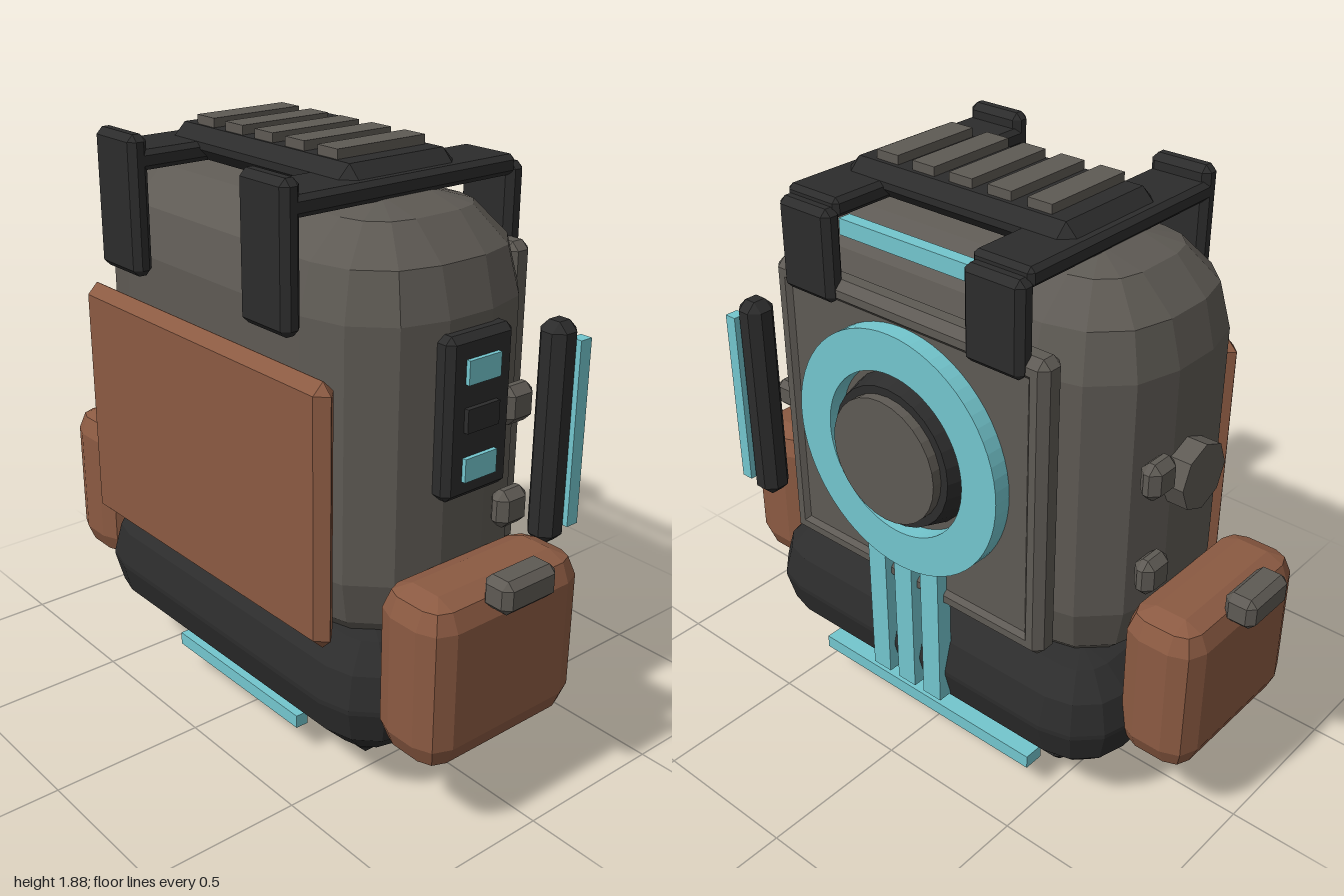
import * as THREE from 'three';
import { ConvexGeometry } from 'three/addons/geometries/ConvexGeometry.js';

const material = (name, color) => {
  const m = new THREE.MeshStandardMaterial({ color, flatShading: true });
  m.name = name;
  return m;
};

// Box between two limits per axis, edges rounded by radius r in m facets
function roundedBox([x0, x1], [y0, y1], [z0, z1], r, m) {
  const c = [(x0 + x1) / 2, (y0 + y1) / 2, (z0 + z1) / 2];
  const h = [(x1 - x0) / 2 - r, (y1 - y0) / 2 - r, (z1 - z0) / 2 - r];
  const points = new Map();
  for (const sx of [-1, 1]) for (const sy of [-1, 1]) for (const sz of [-1, 1]) {
    for (let i = 0; i <= m; i++) for (let j = 0; j <= m; j++) {
      const a = (i / m) * Math.PI / 2, b = (j / m) * Math.PI / 2;
      const p = new THREE.Vector3(
        c[0] + sx * (h[0] + r * Math.cos(a) * Math.cos(b)),
        c[1] + sy * (h[1] + r * Math.sin(a)),
        c[2] + sz * (h[2] + r * Math.cos(a) * Math.sin(b)));
      points.set(p.toArray().map((v) => v.toFixed(4)).join(), p);
    }
  }
  return new ConvexGeometry([...points.values()]);
}

export function createModel() {
  const model = new THREE.Group();
  model.name = 'backpack';
  const canvas = material('warm grey canvas', 0x5e5a54);
  const leather = material('brown leather', 0x8b5a42);
  const rubber = material('black rubber', 0x2c2c2c);
  const glow = material('cyan trim', 0x73c6ce);

  const add = (name, geometry, mat) => {
    const mesh = new THREE.Mesh(geometry, mat);
    mesh.name = name;
    model.add(mesh);
    return mesh;
  };
  const soft = (name, mat, x, y, z, r, m = 1) => add(name, roundedBox(x, y, z, r, m), mat);
  const box = (name, mat, [x0, x1], [y0, y1], [z0, z1]) => {
    const mesh = add(name, new THREE.BoxGeometry(x1 - x0, y1 - y0, z1 - z0), mat);
    mesh.position.set((x0 + x1) / 2, (y0 + y1) / 2, (z0 + z1) / 2);
    return mesh;
  };
  // x limits mirrored for the right side
  const side = (s, a, b) => (s > 0 ? [a, b] : [-b, -a]);

  // Main bag, padded bottom and front flap
  soft('body', canvas, [-0.7, 0.7], [0.44, 1.76], [-0.32, 0.4], 0.28, 3);
  soft('paddedBase', rubber, [-0.725, 0.725], [0.135, 0.55], [-0.39, 0.417], 0.2, 3);
  soft('frontFlap', leather, [-0.595, 0.592], [0.545, 1.345], [0.396, 0.466], 0.034);

  for (const s of [1, -1]) {
    // Side pouches with buckles
    soft('sidePouch', leather, side(s, 0.675, 0.935), [0.262, 0.786], [-0.232, 0.36], 0.08, 2);
    soft('pouchBuckle', canvas, side(s, 0.898, 1.0), [0.735, 0.836], [-0.036, 0.168], 0.022);
    // Shoulder straps: front drop, top run, back drop
    soft('strapFront', rubber, side(s, 0.25, 0.455), [1.435, 1.856], [0.41, 0.474], 0.02);
    soft('strapTop', rubber, side(s, 0.25, 0.455), [1.75, 1.81], [-0.37, 0.46], 0.015);
    soft('strapBack', rubber, side(s, 0.25, 0.455), [1.5, 1.785], [-0.412, -0.345], 0.02);
    // Feet
    soft('foot', rubber, side(s, 0.302, 0.47), [0, 0.15], [-0.196, 0.188], 0.03);
    // Side studs
    for (const y of [1.192, 0.873])
      soft('sideStud', canvas, side(s, 0.68, 0.748), [y - 0.058, y + 0.058], [-0.188, -0.072], 0.025);
    // Upright bars of the back frame
    soft('backFrameSide', canvas, side(s, 0.445, 0.52), [0.6, 1.57], [-0.39, -0.3], 0.025);
  }

  // Vent block on the top
  soft('ventBase', rubber, [-0.42, 0.42], [1.75, 1.848], [-0.182, 0.235], 0.038);
  for (let i = -2; i <= 2; i++)
    box('ventSlat', canvas, [i * 0.141 - 0.042, i * 0.141 + 0.042], [1.83, 1.876], [-0.13, 0.19]);

  // Back frame and inset panel
  soft('backFrameTop', canvas, [-0.52, 0.52], [1.495, 1.57], [-0.39, -0.3], 0.025);
  soft('backFrameBottom', canvas, [-0.52, 0.52], [0.6, 0.675], [-0.39, -0.3], 0.025);
  box('backPanel', canvas, [-0.48, 0.48], [0.64, 1.53], [-0.375, -0.29]);

  // Ring and hub on the back
  const ringShape = new THREE.Shape().absarc(0, 0, 0.392, 0, Math.PI * 2);
  ringShape.holes.push(new THREE.Path().absarc(0, 0, 0.265, 0, Math.PI * 2, true));
  const ring = add('backRing', new THREE.ExtrudeGeometry(ringShape,
    { depth: 0.06, bevelEnabled: false, curveSegments: 32 }), glow);
  ring.position.set(0, 1.11, -0.432);
  const hub = (name, mat, r0, r1, z0, z1) => {
    const mesh = add(name, new THREE.CylinderGeometry(r0, r1, z1 - z0, 28), mat);
    mesh.rotation.x = -Math.PI / 2;
    mesh.position.set(0, 1.11, (z0 + z1) / 2);
  };
  hub('hubRim', rubber, 0.225, 0.25, -0.445, -0.36);
  hub('hubCap', canvas, 0.2, 0.2, -0.477, -0.43);

  // Cyan strips: cables, top bar and underglow
  for (const x of [-0.11, 0, 0.11])
    box('cable', glow, [x - 0.036, x + 0.036], [0.245, 0.79], [-0.415, -0.36]);
  box('topLightBar', glow, [-0.26, 0.26], [1.7, 1.75], [-0.352, -0.31]);
  box('frontUnderlight', glow, [-0.315, 0.315], [0.097, 0.14], [0.29, 0.333]);
  box('backUnderlight', glow, [-0.45, 0.45], [0.1, 0.145], [-0.348, -0.28]);

  // Control panel on the left side
  soft('controlPanel', rubber, [0.67, 0.742], [0.968, 1.445], [-0.09, 0.155], 0.02);
  for (const y of [1.343, 1.06])
    box('panelLight', glow, [0.73, 0.755], [y - 0.035, y + 0.035], [-0.025, 0.095]);
  box('panelSwitch', rubber, [0.73, 0.757], [1.17, 1.24], [-0.025, 0.095]);

  // Light tube at the rear left corner
  soft('tubeHolder', rubber, [0.615, 0.715], [0.67, 1.375], [-0.405, -0.302], 0.03);
  box('lightTube', glow, [0.692, 0.733], [0.73, 1.322], [-0.42, -0.375]);

  // Dial on the right side
  const dial = add('sideDial', new THREE.CylinderGeometry(0.105, 0.105, 0.085, 8), canvas);
  dial.rotation.z = Math.PI / 2;
  dial.position.set(-0.723, 1.14, 0.025);

  return model;
}
